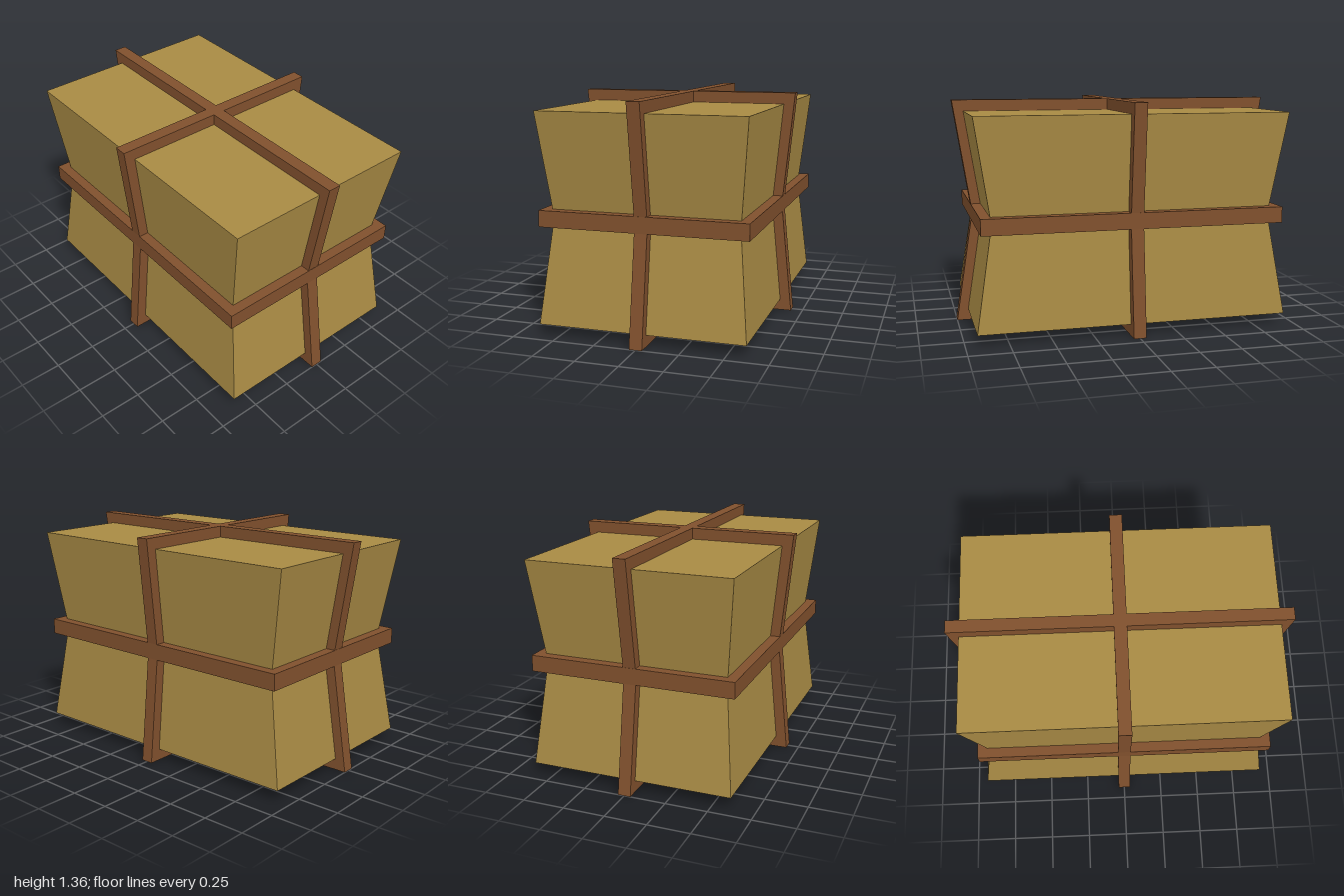
import * as THREE from 'three';

const H = 1.364, MID = H / 2;
const wood = new THREE.MeshStandardMaterial({ color: 0x80502d, flatShading: true });
const cloth = new THREE.MeshStandardMaterial({ color: 0xa88a44, flatShading: true });

// Closed hourglass outline: half width `end` at y0 and y1, `waist` at the middle
function hourglass(Type, end, waist, y0, y1) {
  return new Type([[-end, y0], [end, y0], [waist, MID], [end, y1], [-end, y1], [-waist, MID]]
    .map(([x, y]) => new THREE.Vector2(x, y)));
}

// Flat strap loop running over the top, sides and bottom of the bundle
function strapLoop(name, end, waist, innerEnd, innerWaist) {
  const shape = hourglass(THREE.Shape, end, waist, 0, H);
  shape.holes.push(hourglass(THREE.Path, innerEnd, innerWaist, 0.08, H - 0.08));
  const geo = new THREE.ExtrudeGeometry(shape, { depth: 0.076, bevelEnabled: false });
  geo.translate(0, 0, -0.038);
  const mesh = new THREE.Mesh(geo, wood);
  mesh.name = name;
  return mesh;
}

export function createModel() {
  const group = new THREE.Group();
  group.name = 'strappedBundle';

  // Bundle body, pinched at the waist
  const bodyGeo = new THREE.BoxGeometry(1.222, H - 0.136, 1.864, 1, 2, 1);
  const p = bodyGeo.attributes.position;
  for (let i = 0; i < p.count; i++) {
    if (Math.abs(p.getY(i)) < 0.01) {
      p.setX(i, Math.sign(p.getX(i)) * 0.55);
      p.setZ(i, Math.sign(p.getZ(i)) * 0.834);
    }
  }
  bodyGeo.translate(0, MID, 0);
  bodyGeo.computeVertexNormals();
  const body = new THREE.Mesh(bodyGeo, cloth);
  body.name = 'bundleBody';
  group.add(body);

  // Two crossing upright straps
  group.add(strapLoop('crossStrap', 0.68, 0.61, 0.6, 0.54));
  const longStrap = strapLoop('lengthStrap', 1, 0.893, 0.92, 0.824);
  longStrap.rotation.y = Math.PI / 2;
  group.add(longStrap);

  // Level band around the waist
  const band = new THREE.Mesh(new THREE.BoxGeometry(1.23, 0.096, 1.804), wood);
  band.name = 'waistBand';
  band.position.y = MID;
  group.add(band);

  return group;
}
